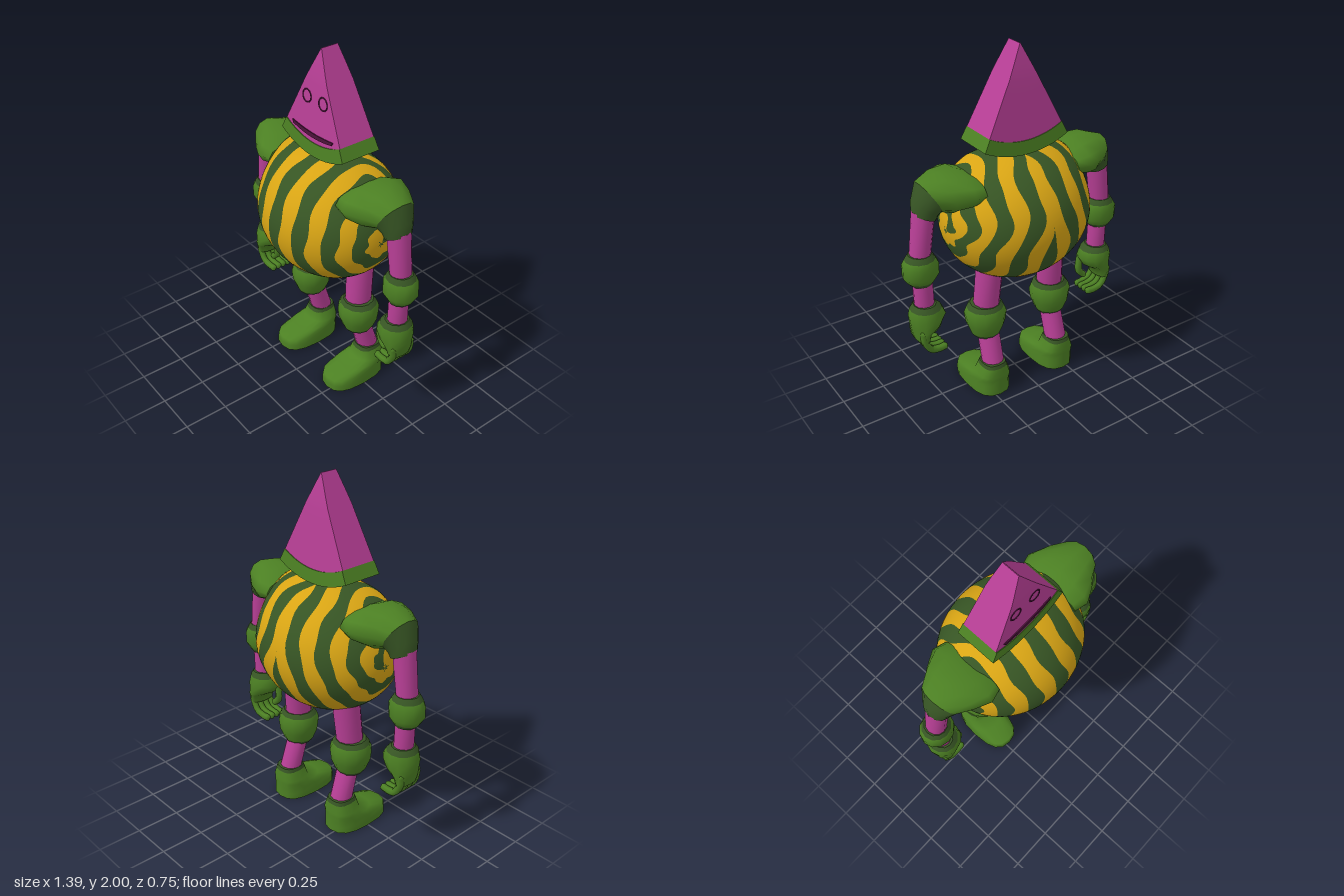
import * as THREE from 'three';

const mat = (name, color, side = THREE.FrontSide) => {
  const m = new THREE.MeshStandardMaterial({ color, side });
  m.name = name;
  return m;
};

export function createModel() {
  const pink = mat('pink', 0xb83f96);
  const green = mat('green', 0x4c8023);
  const dark = mat('darkGreen', 0x375524);
  const yellow = mat('yellow', 0xd9a514);
  const ink = mat('darkPlum', 0x4a1238);
  const model = new THREE.Group();
  model.name = 'wedgeHeadedFigure';

  const add = (parent, name, geo, material) => {
    const mesh = new THREE.Mesh(geo, material);
    mesh.name = name;
    parent.add(mesh);
    return mesh;
  };
  const group = (parent, name) => {
    const g = new THREE.Group();
    g.name = name;
    parent.add(g);
    return g;
  };

  // Skin over rings listed bottom to top: [x, y, z, halfX, halfZ, tilt]; s = -1 mirrors it
  const loft = (rings, s = 1, n = 12, power = 1) => {
    const pos = [], idx = [];
    const bend = v => Math.sign(v) * Math.abs(v) ** power;
    const ring = ([x, y, z, rx, rz, tilt = 0]) => {
      for (let i = 0; i < n; i++) {
        const a = i / n * Math.PI * 2, u = rx * bend(Math.cos(a));
        pos.push(x * s + u * Math.cos(tilt * s), y + u * Math.sin(tilt * s), z + rz * bend(Math.sin(a)));
      }
    };
    rings.forEach(ring);
    for (let j = 0; j < rings.length - 1; j++) for (let i = 0; i < n; i++) {
      const a = j * n + i, b = j * n + (i + 1) % n;
      idx.push(a, a + n, b, b, a + n, b + n);
    }
    // end caps with their own corners
    [rings[0], rings[rings.length - 1]].forEach((r, e) => {
      const o = pos.length / 3;
      ring(r);
      for (let i = 1; i < n - 1; i++) idx.push(o, o + (e ? i + 1 : i), o + (e ? i : i + 1));
    });
    const g = new THREE.BufferGeometry();
    g.setAttribute('position', new THREE.Float32BufferAttribute(pos, 3));
    g.setIndex(idx);
    g.computeVertexNormals();
    return g;
  };

  // Striped round body: each band runs between two wavy rings around the x axis
  const body = group(model, 'body');
  const PERIOD = 0.41, STEPS = 72, SUB = 3;
  const ease = (a, lo, hi) => THREE.MathUtils.smoothstep(a * 180 / Math.PI, lo, hi);
  const edge = (k, a, s) => THREE.MathUtils.clamp(
    PERIOD * (k / 2 + 0.25 + 0.5 * ease(a, 88, 125) + 0.5 * ease(a, 155, 200))
    + s * 0.02 * Math.sin(6 * a) + 0.014 * Math.sin(9 * a + k * Math.PI), 0, Math.PI / 2);
  const bodyPoint = (f, a, s) => {
    const up = Math.max(0, Math.sin(a));
    return new THREE.Vector3(s * 0.435 * Math.sin(f),
      1.053 + 0.368 * Math.cos(f) * Math.sin(a) + 0.065 * up ** 3 * Math.sin(2 * f) ** 2,
      0.373 * Math.cos(f) * Math.cos(a));
  };
  [[dark, 0, 'darkStripes'], [yellow, 1, 'yellowStripes']].forEach(([material, parity, name]) => {
    const pos = [], nor = [], idx = [];
    for (const s of [1, -1]) for (let k = -2; k <= 8; k++) {
      if (Math.abs(k % 2) !== parity) continue;
      const base = pos.length / 3, row = SUB + 1;
      for (let j = 0; j <= STEPS; j++) for (let i = 0; i <= SUB; i++) {
        const a = j / STEPS * Math.PI * 2;
        const f = THREE.MathUtils.lerp(edge(k - 1, a, s), edge(k, a, s), i / SUB);
        const p = bodyPoint(f, a, s);
        pos.push(p.x, p.y, p.z);
        nor.push(...new THREE.Vector3(p.x / 0.19, (p.y - 1.053) / 0.135, p.z / 0.139).normalize().toArray());
        if (j < STEPS && i < SUB) {
          const q = base + j * row + i;
          if (s > 0) idx.push(q, q + 1, q + row + 1, q, q + row + 1, q + row);
          else idx.push(q, q + row + 1, q + 1, q, q + row, q + row + 1);
        }
      }
    }
    const g = new THREE.BufferGeometry();
    g.setAttribute('position', new THREE.Float32BufferAttribute(pos, 3));
    g.setAttribute('normal', new THREE.Float32BufferAttribute(nor, 3));
    g.setIndex(idx);
    add(body, name, g, material);
  });

  // Head: a slice of a disc, thinner towards the tip
  const head = group(model, 'head');
  const depthAt = y => y > 1.84 ? THREE.MathUtils.mapLinear(y, 2, 1.84, 0.05, 0.082)
    : THREE.MathUtils.mapLinear(y, 1.84, 1.5, 0.082, 0.114);
  const slice = (r0, r1, extra) => {
    const g = new THREE.BoxGeometry(1, 1, 1, 12, 8, 1), p = g.attributes.position;
    for (let i = 0; i < p.count; i++) {
      const a = p.getX(i) * 2 * 0.4636, r = THREE.MathUtils.lerp(r1, r0, p.getY(i) + 0.5);
      const y = 2 - r * Math.cos(a);
      p.setXYZ(i, r * Math.sin(a), y, Math.sign(p.getZ(i)) * (depthAt(y) + extra));
    }
    g.computeVertexNormals();
    return g;
  };
  add(head, 'flesh', slice(0.004, 0.5, 0), pink);
  add(head, 'rind', slice(0.5, 0.575, 0.004), green);
  for (const s of [1, -1]) {
    const eye = add(head, s > 0 ? 'leftEye' : 'rightEye', new THREE.TorusGeometry(0.034, 0.004, 6, 20), ink);
    eye.position.set(s * 0.066, 1.73, depthAt(1.73));
    eye.rotation.x = -0.095;
  }
  const smile = new THREE.Shape();
  smile.moveTo(-0.17, 0.018);
  smile.quadraticCurveTo(0, -0.008, 0.17, 0.018);
  smile.lineTo(0.16, 0);
  smile.quadraticCurveTo(0, -0.036, -0.16, 0);
  const mouth = add(head, 'mouth', new THREE.ExtrudeGeometry(smile, { depth: 0.008, bevelEnabled: false, curveSegments: 10 }), ink);
  mouth.position.set(0, 1.545, depthAt(1.545) - 0.002);
  mouth.rotation.x = -0.095;

  for (const s of [1, -1]) {
    const side = s > 0 ? 'left' : 'right';

    // Arm
    const arm = group(model, side + 'Arm');
    const cuffTop = [0.53, 1.275, 0, 0.1, 0.115, 1.05];
    add(arm, 'sleeve', loft([[0.56, 1.175, 0, 0.067, 0.075, 0.386], [0.552, 1.22, 0, 0.08, 0.088, 0.65], cuffTop], s), dark);
    add(arm, 'shoulder', loft([cuffTop, [0.455, 1.285, 0, 0.115, 0.165, 1.33],
      [0.365, 1.295, 0, 0.095, 0.21, 1.57], [0.29, 1.29, 0, 0.07, 0.19, 1.57]], s), green);
    add(arm, 'upperArm', loft([[0.595, 0.94, 0, 0.057, 0.06], [0.56, 1.21, 0, 0.062, 0.066]], s), pink);
    const ball = (parent, name, x, z, rows) => {
      const r = rows.map(([y, w, d = w]) => [x, y, z, w, d]), e = r.length;
      add(parent, name + 'LowerTrim', loft(r.slice(0, 2), s), dark);
      add(parent, name, loft(r.slice(1, e - 1), s), green);
      add(parent, name + 'UpperTrim', loft(r.slice(e - 2), s), dark);
    };
    ball(arm, 'elbow', 0.595, 0, [[0.785, 0.06], [0.805, 0.078, 0.07], [0.84, 0.101, 0.09], [0.905, 0.101, 0.09],
      [0.935, 0.084, 0.08], [0.965, 0.064]]);
    add(arm, 'forearm', loft([[0.583, 0.63, 0, 0.055, 0.055], [0.588, 0.81, 0, 0.055, 0.055]], s), pink);

    // Hand with curled fingers
    const hand = group(arm, side + 'Hand');
    add(hand, 'cuff', loft([[0.576, 0.625, 0, 0.088, 0.088], [0.582, 0.655, 0, 0.062, 0.068]], s), dark);
    add(hand, 'palm', loft([[0.612, 0.44, 0, 0.035, 0.075], [0.612, 0.49, 0, 0.048, 0.088], [0.583, 0.53, 0, 0.085, 0.094],
      [0.571, 0.58, 0, 0.104, 0.099], [0.576, 0.625, 0, 0.088, 0.088]], s), green);
    const digit = (name, path, z, r) => {
      const curve = new THREE.CatmullRomCurve3(path.map(([x, y, k = 1]) => new THREE.Vector3(x * s, y, z * k)));
      add(hand, name, new THREE.TubeGeometry(curve, 8, r, 6), green);
      for (const end of [0, 1]) { // rounded ends
        const tip = add(hand, name + 'Tip', new THREE.SphereGeometry(r, 6, 4), green);
        tip.position.copy(curve.getPoint(end));
      }
    };
    for (let i = 0; i < 4; i++) {
      digit('finger' + (i + 1), [[0.628, 0.5, 1.05], [0.62, 0.44], [0.585, 0.385], [0.535, 0.37, 0.95], [0.5, 0.37, 0.9]],
        (i - 1.5) * 0.039, 0.021);
    }
    digit('thumb', [[0.492, 0.57], [0.485, 0.5], [0.495, 0.465], [0.522, 0.44]], 0.03, 0.022);

    // Leg
    const leg = group(model, side + 'Leg');
    add(leg, 'thigh', loft([[0.218, 0.5, -0.035, 0.073, 0.076], [0.2, 0.86, -0.065, 0.075, 0.082]], s), pink);
    ball(leg, 'knee', 0.222, -0.035, [[0.345, 0.075], [0.365, 0.088], [0.425, 0.112], [0.485, 0.122, 0.117],
      [0.525, 0.108, 0.102], [0.55, 0.086]]);
    add(leg, 'shin', loft([[0.22, 0.17, -0.11, 0.063, 0.063], [0.215, 0.4, -0.04, 0.063, 0.06]], s), pink);

    // Boot rings from back z to front z
    const sole = (y, back, front, w) => [0.223, y, (back + front) / 2, w, (front - back) / 2];
    add(leg, 'boot', loft([sole(0, -0.19, 0.195, 0.113), sole(0.035, -0.19, 0.195, 0.113), sole(0.068, -0.19, 0.19, 0.109),
      sole(0.1, -0.19, 0.07, 0.104), sole(0.122, -0.19, -0.01, 0.094), sole(0.175, -0.185, -0.025, 0.073)], s, 16, 0.75), green);
    add(leg, 'bootCollar', loft([sole(0.175, -0.185, -0.025, 0.073), sole(0.197, -0.178, -0.035, 0.067)], s, 16, 0.75), dark);
  }
  return model;
}
